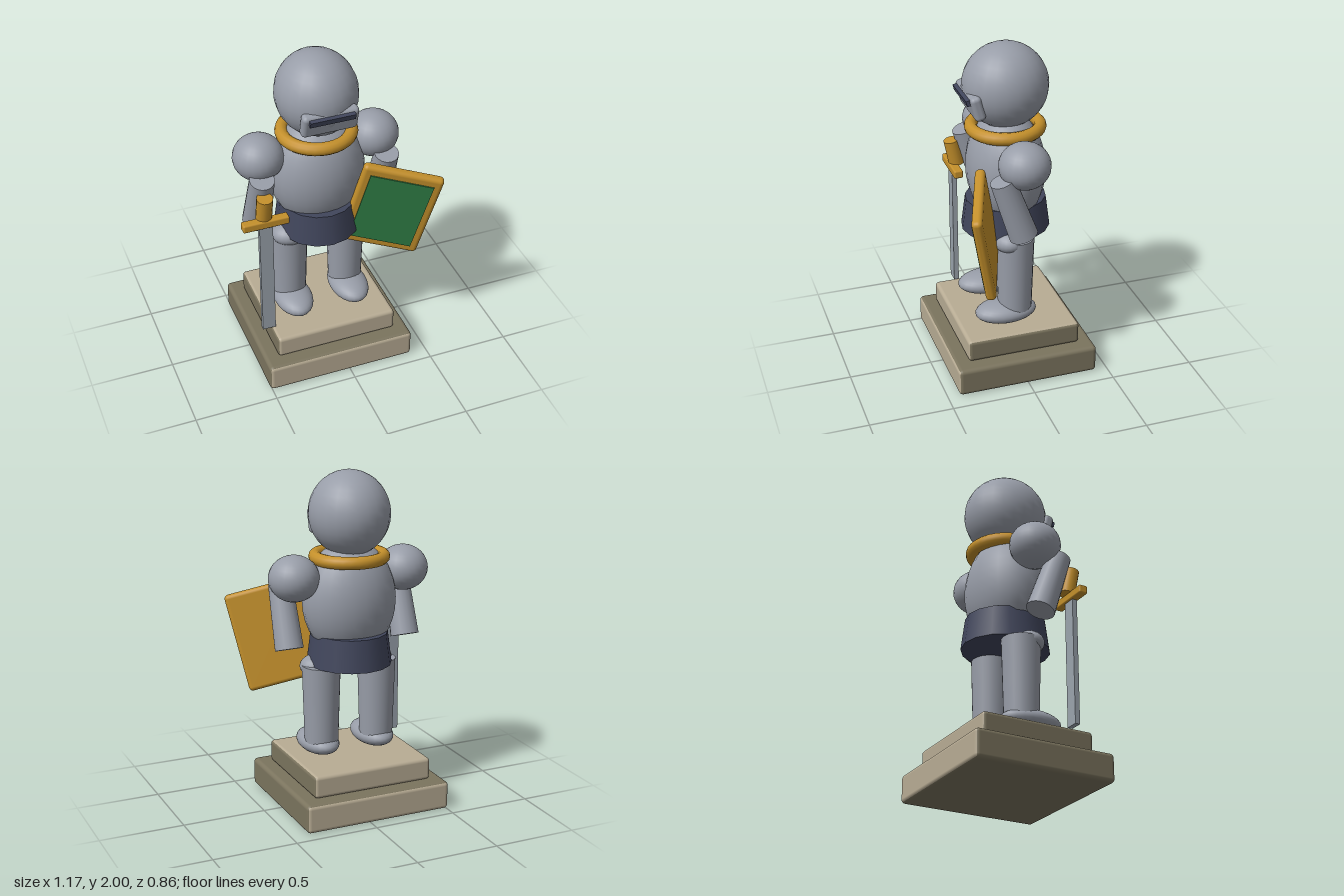
import * as THREE from 'three';
import { RoundedBoxGeometry } from 'three/addons/geometries/RoundedBoxGeometry.js';

const CX = -0.055; // centre line of the figure

function mat(name, color) {
  const m = new THREE.MeshStandardMaterial({ color });
  m.name = name;
  return m;
}

export function createModel() {
  const armour = mat('armour grey', 0x989da8);
  const steel = mat('blade steel', 0x9ba4ad);
  const gold = mat('gold', 0xc4902b);
  const navy = mat('dark navy', 0x41465c);
  const green = mat('shield green', 0x2f7d45);
  const tan = mat('light stone', 0xb8ac94);
  const olive = mat('dark stone', 0x7b745e);

  const root = new THREE.Group();
  root.name = 'knightStatue';

  function add(name, geometry, material, x, y, z, parent = root) {
    const m = new THREE.Mesh(geometry, material);
    m.name = name;
    m.position.set(x, y, z);
    parent.add(m);
    return m;
  }
  const ball = (rx, ry, rz) => new THREE.SphereGeometry(1, 24, 18).scale(rx, ry, rz);
  const block = (w, h, d, r) => new RoundedBoxGeometry(w, h, d, 3, r);

  // Stepped plinth: sides are dark stone, front and back are light
  add('lowerPlinth', block(0.91, 0.17, 0.86, 0.025),
    [olive, olive, olive, olive, tan, tan], CX, 0.085, 0);
  add('upperPlinth', block(0.745, 0.135, 0.69, 0.022),
    [olive, olive, tan, olive, tan, tan], CX, 0.2375, 0);

  // Body
  add('torso', ball(0.285, 0.35, 0.23), armour, CX, 1.24, 0);
  add('skirt', new THREE.CylinderGeometry(0.24, 0.265, 0.19, 16).scale(0.94, 1, 1),
    navy, CX, 0.955, 0);
  add('collar', new THREE.TorusGeometry(0.2, 0.038, 12, 32).rotateX(Math.PI / 2),
    gold, CX, 1.497, 0);

  // Helmet with tilted visor and eye slit
  add('helmet', ball(0.237, 0.25, 0.252), armour, CX, 1.75, 0);
  const visor = new THREE.Group();
  visor.name = 'visor';
  visor.position.set(CX, 1.682, 0.205);
  visor.rotation.x = 0.25;
  root.add(visor);
  add('visorPlate', block(0.33, 0.15, 0.065, 0.025), armour, 0, 0, 0, visor);
  add('eyeSlit', new THREE.BoxGeometry(0.265, 0.034, 0.025), navy, 0, 0.046, 0.04, visor);

  // Limbs, mirrored
  for (const [side, s] of [['left', 1], ['right', -1]]) {
    const lx = CX + s * 0.18;
    add(side + 'Leg', new THREE.CylinderGeometry(0.115, 0.1, 0.5, 20), armour, lx, 0.61, 0);
    add(side + 'Knee', ball(0.115, 0.07, 0.095), armour, lx, 0.847, 0.04);
    add(side + 'Foot', ball(0.115, 0.068, 0.188), armour, lx, 0.37, 0.057);
    add(side + 'Shoulder', ball(0.149, 0.136, 0.15), armour, CX + s * 0.349, 1.397, 0);
    const arm = add(side + 'Arm', new THREE.CylinderGeometry(0.072, 0.085, 0.385, 18),
      armour, CX + s * 0.376, 1.155, 0.077);
    arm.rotation.x = 0.335;
  }

  // Sword pointing down
  const sword = new THREE.Group();
  sword.name = 'sword';
  sword.position.set(-0.443, 0, 0.21);
  root.add(sword);
  add('blade', new THREE.BoxGeometry(0.08, 0.76, 0.03), steel, 0, 0.69, 0, sword);
  add('crossguard', block(0.275, 0.05, 0.055, 0.01), gold, 0, 1.09, 0, sword);
  add('grip', new THREE.CylinderGeometry(0.047, 0.047, 0.16, 16), gold, 0, 1.185, -0.01, sword)
    .rotation.x = 0.2;

  // Shield, turned and tilted by its own axes
  const shield = new THREE.Group();
  shield.name = 'shield';
  const across = new THREE.Vector3(0.43, -0.115, 0.155).normalize();
  const normal = new THREE.Vector3(-0.365, -0.12, 0.924).normalize();
  const up = normal.clone().cross(across).normalize();
  normal.crossVectors(across, up);
  shield.quaternion.setFromRotationMatrix(new THREE.Matrix4().makeBasis(across, up, normal));
  shield.position.set(0.315, 1.01, 0.238);
  root.add(shield);
  add('shieldBoard', block(0.475, 0.595, 0.06, 0.025), gold, 0, 0, 0, shield);
  add('shieldPanel', new THREE.BoxGeometry(0.375, 0.485, 0.009), green, 0, 0, 0.032, shield);

  return root;
}
